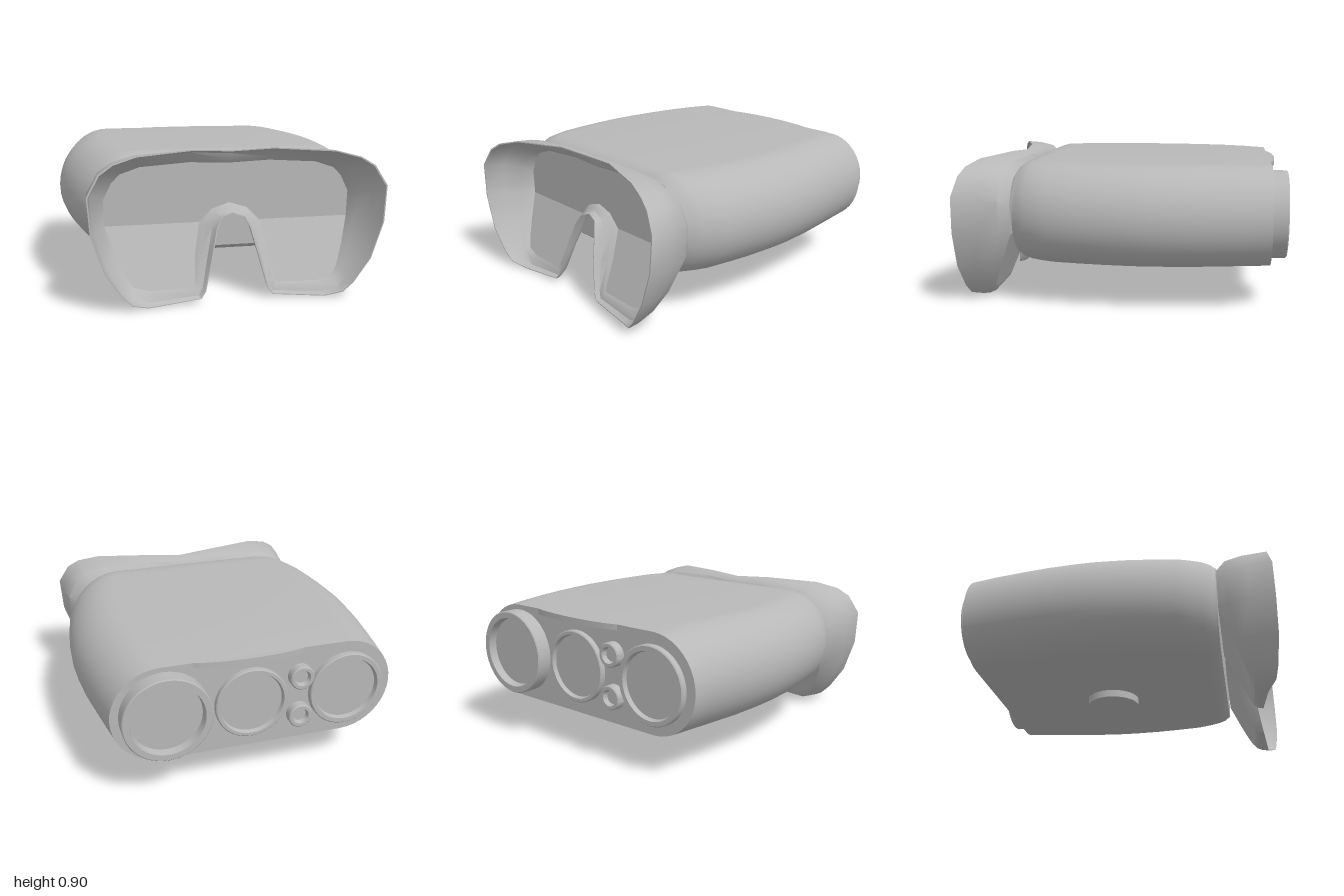
import * as THREE from 'three';
import { toCreasedNormals } from 'three/addons/utils/BufferGeometryUtils.js';

const MID = 0.02; // centre line of the eye shield and of the small fittings

// Skin a list of closed rings (arrays of [x, y, z]) with quads
function loft(rings) {
  const n = rings[0].length, index = [];
  for (let r = 0; r < rings.length - 1; r++) {
    for (let i = 0; i < n; i++) {
      const a = r * n + i, b = r * n + (i + 1) % n;
      index.push(a, b, b + n, a, b + n, a + n);
    }
  }
  const g = new THREE.BufferGeometry();
  g.setAttribute('position', new THREE.Float32BufferAttribute(rings.flat(2), 3));
  g.setIndex(index);
  g.computeVertexNormals();
  return toCreasedNormals(g, 0.7);
}

// Fill one outline of [x, y, z] points, keeping each point's depth
function cap(points) {
  const flat = points.map(p => new THREE.Vector2(p[0], p[1]));
  const g = new THREE.BufferGeometry();
  g.setAttribute('position', new THREE.Float32BufferAttribute(points.flat(), 3));
  g.setIndex(THREE.ShapeUtils.triangulateShape(flat, []).flat());
  g.computeVertexNormals();
  return g;
}

// Cross-section of the housing: straight top and bottom, half-round ends
function stadium([z, half, bottom, top]) {
  const r = (top - bottom) / 2, cy = (top + bottom) / 2, pts = [];
  for (const side of [1, -1]) {
    for (let i = 0; i <= 20; i++) {
      const a = -Math.PI / 2 + (i / 20) * Math.PI;
      pts.push([side * (half - r + r * Math.cos(a)), side * r * Math.sin(a) + cy, z]);
    }
  }
  return pts;
}

function roundedRect(w, h, r) {
  const s = new THREE.Shape(), x = w / 2 - r, y = h / 2 - r;
  s.absarc(x, y, r, 0, Math.PI / 2);
  s.absarc(-x, y, r, Math.PI / 2, Math.PI);
  s.absarc(-x, -y, r, Math.PI, Math.PI * 1.5);
  s.absarc(x, -y, r, Math.PI * 1.5, Math.PI * 2);
  return s;
}

// Eye shield stations from top centre round to the nose bridge:
// rim offset, rim height, rim depth, floor offset, floor height
const STATIONS = [
  [0, 0.893, 0.75, 0, 0.81],
  [0.25, 0.907, 0.78, 0.25, 0.82],
  [0.6, 0.895, 0.895, 0.55, 0.80],
  [0.74, 0.86, 0.945, 0.67, 0.76],
  [0.82, 0.81, 0.97, 0.72, 0.71],
  [0.89, 0.69, 0.995, 0.77, 0.61],
  [0.875, 0.47, 1.0, 0.765, 0.45],
  [0.80, 0.25, 1.0, 0.71, 0.29],
  [0.70, 0.10, 0.985, 0.66, 0.17],
  [0.64, 0.04, 0.97, 0.62, 0.11],
  [0.54, 0.005, 0.92, 0.52, 0.085],
  [0.22, 0.03, 0.89, 0.26, 0.09],
  [0.19, 0.07, 0.88, 0.245, 0.13],
  [0.145, 0.25, 0.85, 0.23, 0.28],
  [0.10, 0.43, 0.80, 0.19, 0.45],
  [0.07, 0.49, 0.775, 0.11, 0.53],
  [0, 0.513, 0.76, 0, 0.565],
];
const LOW = [6, 14]; // stations where the floor bends forward over the cheeks

function halfRing(t, depth) {
  return STATIONS.map(([rx, ry, rz, fx, fy]) => {
    const back = 0.66 + Math.max(0, 0.45 - fy) * 0.45;
    return [fx + (rx - fx) * t, fy + (ry - fy) * t, depth(back, rz)];
  });
}

const place = (half, s) => half.map(([x, y, z]) => [MID + s * x, y, z]);
const fullRing = half => [...place(half, 1), ...place(half, -1).slice(1, -1).reverse()];

export function createModel() {
  const model = new THREE.Group();
  const grey = new THREE.MeshStandardMaterial({ color: 0xb8b8b8, side: THREE.DoubleSide });
  grey.name = 'grey';
  const add = (name, geometry, x = 0, y = 0, z = 0, parent = model) => {
    const mesh = new THREE.Mesh(geometry, grey);
    mesh.name = name;
    mesh.position.set(x, y, z);
    parent.add(mesh);
    return mesh;
  };

  // Housing: depth, half width, bottom, top
  const sections = [
    [-0.905, 0.875, 0.257, 0.868], [-0.75, 0.90, 0.255, 0.876], [-0.6, 0.922, 0.252, 0.88],
    [-0.4, 0.95, 0.25, 0.881], [-0.2, 0.966, 0.25, 0.881], [-0.08, 0.969, 0.25, 0.881],
    [0.1, 0.96, 0.25, 0.881], [0.25, 0.943, 0.25, 0.881], [0.42, 0.918, 0.25, 0.881],
    [0.5, 0.89, 0.251, 0.881], [0.57, 0.86, 0.254, 0.88], [0.62, 0.833, 0.265, 0.866],
    [0.642, 0.812, 0.28, 0.85], [0.655, 0.805, 0.292, 0.84],
  ].map(stadium);
  add('housing', loft([...sections].reverse()));
  add('housingFrontFace', cap(sections[sections.length - 1]));
  add('housingRearFace', cap([...sections[0]].reverse()));

  // Rear lenses: rim ring with a recessed disc
  const lens = (name, x, y, r, inner, length, recess) => {
    const profile = [[r, -0.02], [r, length - 0.006], [r - 0.006, length], [inner, length],
      [inner - 0.008, length - recess], [0, length - recess]];
    const g = new THREE.LatheGeometry(profile.map(p => new THREE.Vector2(...p)), 48);
    g.rotateX(-Math.PI / 2);
    add(name, toCreasedNormals(g, 0.6), x, y, -0.9);
  };
  lens('mainLens', 0.555, 0.57, 0.268, 0.225, 0.1, 0.05);
  lens('middleLens', 0.03, 0.56, 0.225, 0.2, 0.04, 0.025);
  lens('outerLens', -0.575, 0.56, 0.238, 0.205, 0.044, 0.028);
  for (const s of [1, -1]) lens('smallSensor', -0.275, 0.56 + s * 0.13, 0.075, 0.05, 0.06, 0.03);

  // Curved brow above the middle lens
  const brow = new THREE.Shape();
  brow.moveTo(-0.3, 0.88);
  brow.lineTo(-0.3, 0.905);
  brow.quadraticCurveTo(-0.2, 0.942, 0.03, 0.945);
  brow.quadraticCurveTo(0.26, 0.942, 0.38, 0.905);
  brow.lineTo(0.38, 0.88);
  const browGeo = new THREE.ExtrudeGeometry(brow, { depth: 0.035, bevelEnabled: false, curveSegments: 12 });
  browGeo.rotateX(-Math.PI / 2);
  add('brow', browGeo, 0, 0.833, 0);

  // Mounting knob underneath
  add('mountingKnob', new THREE.CylinderGeometry(0.172, 0.172, 0.06, 48), MID, 0.232, -0.12);

  // Eye shield: outer skin, rim and inner skin
  const shield = new THREE.Group();
  shield.name = 'eyeShield';
  model.add(shield);
  const backEdge = halfRing(0.3, b => b);
  const floor = halfRing(0, b => b + 0.02);
  const rings = [
    backEdge,
    halfRing(0.72, (b, r) => b + (r - b) * 0.18),
    halfRing(0.92, (b, r) => b + (r - b) * 0.55),
    halfRing(1, (b, r) => r),
    halfRing(0.93, (b, r) => r),
    halfRing(0.75, (b, r) => b + (r - b) * 0.6),
    halfRing(0.25, (b, r) => b + 0.02 + (r - b) * 0.2),
    floor,
  ].map(fullRing);
  add('shieldSkin', loft(rings), 0, 0, 0, shield);

  // Shield floor and back: one upper panel and two cheek panels each
  for (const [name, half] of [['shieldFloor', floor], ['shieldBack', backEdge]]) {
    const cheek = half.slice(LOW[0], LOW[1] + 1);
    const outer = half.slice(0, LOW[0] + 1), nose = half.slice(LOW[1]);
    const upper = [...place(outer, 1), ...place(nose, 1),
      ...place(nose, -1).reverse().slice(1), ...place(outer, -1).reverse().slice(0, -1)];
    add(name, cap(upper.reverse()), 0, 0, 0, shield);
    for (const s of [1, -1]) {
      const pts = place(cheek, s);
      add(name + 'Cheek', cap(s > 0 ? pts.reverse() : pts), 0, 0, 0, shield);
    }
  }

  // Eye windows and centre sensor on the shield floor
  for (const s of [1, -1]) {
    add('eyeWindow', new THREE.ShapeGeometry(roundedRect(0.495, 0.295, 0.06), 8), MID + s * 0.422, 0.62, 0.684, shield);
  }
  add('centreSensor', new THREE.CircleGeometry(0.045, 32), MID, 0.61, 0.684, shield);
  return model;
}
